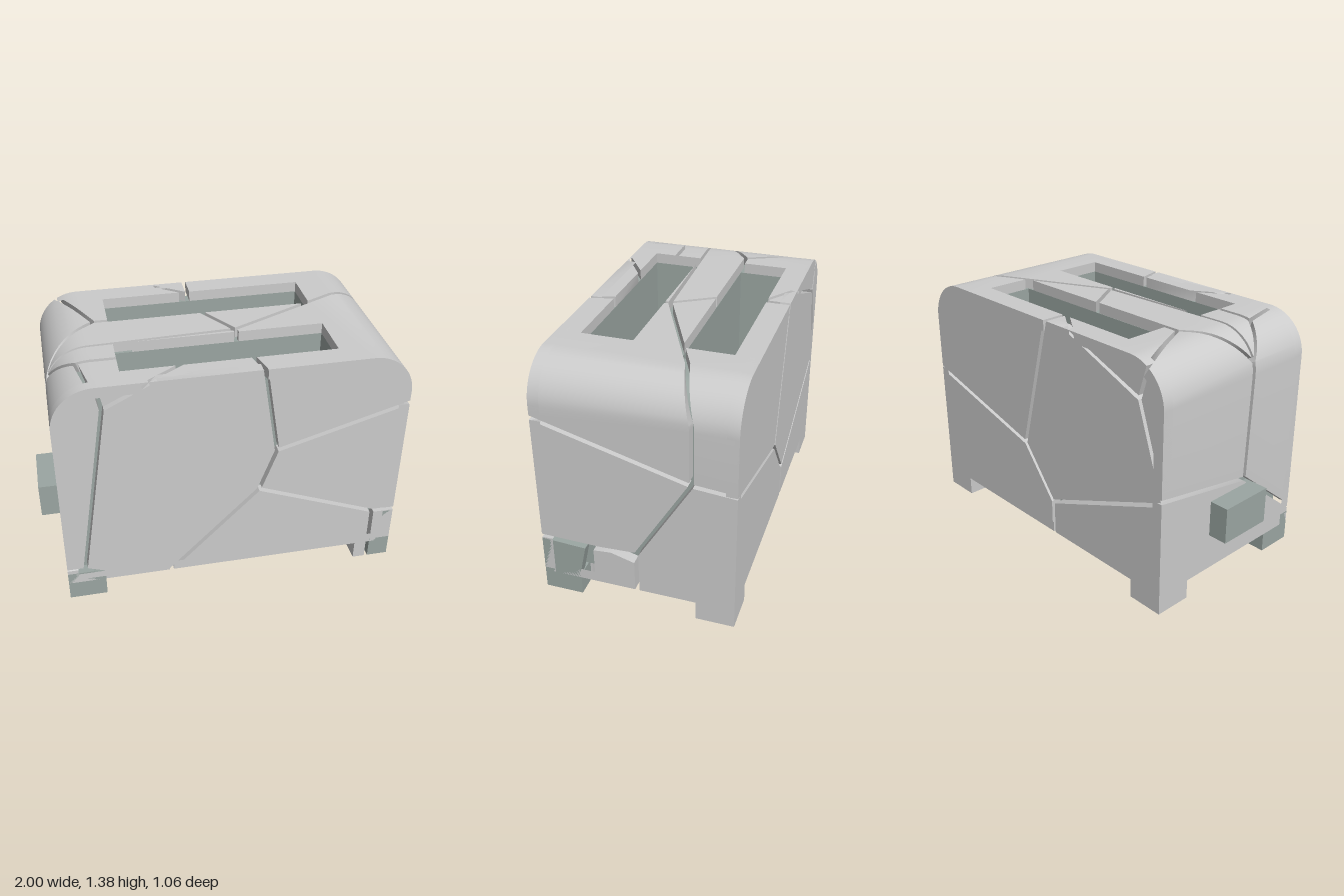
import * as THREE from 'three';
import { toCreasedNormals } from 'three/addons/utils/BufferGeometryUtils.js';

const grey = new THREE.MeshStandardMaterial({ color: 0xcccccc });
const teal = new THREE.MeshStandardMaterial({ color: 0x9ba6a2 });

// Body extents, corner radius, shard thickness and half the crack width
const X0 = -0.89, X1 = 1, Y0 = 0.11, Y1 = 1.38, Z = 0.53, RAD = 0.23;
const DEPTH = 0.06, GAP = 0.012;
const ARC = RAD * Math.PI / 2, YC = Y1 - RAD, XL = X0 + RAD, XR = X1 - RAD;
const SLOT = [-0.52, 0.62], SLOT_Z = [[-0.4, -0.13], [0.12, 0.4]], FLOOR = 0.45;

// Move every edge of a polygon inwards, and make it counter-clockwise
function inset(points) {
  let poly = points.map(p => new THREE.Vector2(...p));
  if (THREE.ShapeUtils.area(poly) < 0) poly.reverse();
  const n = poly.length;
  const normal = (a, b) => new THREE.Vector2(a.y - b.y, b.x - a.x).normalize();
  return poly.map((p, i) => {
    const n1 = normal(poly[(i + n - 1) % n], p), n2 = normal(p, poly[(i + 1) % n]);
    const k = GAP / Math.max(0.3, 1 + n1.dot(n2));
    return p.clone().addScaledVector(n1, k).addScaledVector(n2, k);
  });
}

// Clip a polygon to a convex counter-clockwise outline
function clip(poly, outline) {
  outline.forEach((a, i) => {
    const b = outline[(i + 1) % outline.length];
    const side = p => (b[0] - a[0]) * (p.y - a[1]) - (b[1] - a[1]) * (p.x - a[0]);
    const out = [];
    poly.forEach((p, j) => {
      const q = poly[(j + 1) % poly.length], dp = side(p), dq = side(q);
      if (dp >= 0) out.push(p);
      if (dp * dq < 0) out.push(p.clone().lerp(q, dp / (dp - dq)));
    });
    poly = out;
  });
  return poly.filter((p, i) => p.distanceTo(poly[(i + 1) % poly.length]) > 1e-5);
}

// One shard: the polygon clipped to each region, mapped to the body, with side walls
function shard(name, points, regions, place, flip, material) {
  const pos = [];
  const tri = (a, b, c) => (flip ? [a, c, b] : [a, b, c]).forEach(v => pos.push(...v));
  const whole = inset(points);
  for (const region of regions) {
    const poly = clip(whole, region);
    if (poly.length < 3) continue;
    const top = poly.map(p => place(p.x, p.y, 0));
    const low = poly.map(p => place(p.x, p.y, DEPTH));
    for (const [a, b, c] of THREE.ShapeUtils.triangulateShape(poly, [])) tri(top[a], top[b], top[c]);
    for (let i = 0; i < poly.length; i++) {
      const j = (i + 1) % poly.length;
      tri(top[i], low[i], low[j]);
      tri(top[i], low[j], top[j]);
    }
  }
  const geo = new THREE.BufferGeometry();
  geo.setAttribute('position', new THREE.Float32BufferAttribute(pos, 3));
  const mesh = new THREE.Mesh(toCreasedNormals(geo, 0.6), material);
  mesh.name = name;
  return mesh;
}

// A named group of shards; polygons whose name contains Chip are tinted
function shell(name, polys, regions, place, flip) {
  const group = new THREE.Group();
  group.name = name;
  for (const [key, points] of Object.entries(polys)) {
    group.add(shard(key, points, regions, place, flip, key.includes('Chip') ? teal : grey));
  }
  return group;
}

// Rounded body profile, inset by d, optionally notched by a slot
function profile(d, notch) {
  const s = new THREE.Shape(), r = RAD - d;
  s.moveTo(X0 + d, Y0 + d);
  s.lineTo(X1 - d, Y0 + d);
  s.absarc(XR, YC, r, 0, Math.PI / 2);
  if (notch) {
    s.lineTo(SLOT[1], Y1 - d);
    s.lineTo(SLOT[1], FLOOR);
    s.lineTo(SLOT[0], FLOOR);
    s.lineTo(SLOT[0], Y1 - d);
  }
  s.absarc(XL, YC, r, Math.PI / 2, Math.PI);
  return s;
}

// Unrolled coordinate s: equals x on the flat top, runs on over both corners and down the sides
const left = y => XL - ARC - (YC - y);
const right = y => XR + ARC + (YC - y);
function wrap(s, z, d) {
  const r = RAD - d;
  if (s < XL - ARC) return [X0 + d, YC + (s - XL + ARC), z];
  if (s > XR + ARC) return [X1 - d, YC - (s - XR - ARC), z];
  const c = s < XL ? XL : s > XR ? XR : s, a = (s - c) / RAD;
  return [c + r * Math.sin(a), YC + r * Math.cos(a), z];
}

function wrapRegions() {
  const cuts = [left(Y0)];
  for (let i = 0; i <= 10; i++) cuts.push(XL - ARC * (1 - i / 10));
  cuts.push(...SLOT);
  for (let i = 0; i <= 10; i++) cuts.push(XR + ARC * i / 10);
  cuts.push(right(Y0));
  const out = [];
  for (let i = 0; i + 1 < cuts.length; i++) {
    const [a, b] = [cuts[i], cuts[i + 1]];
    const bands = a === SLOT[0] ? [[-Z, -0.4], [-0.13, 0.12], [0.4, Z]] : [[-Z, Z]];
    for (const [p, q] of bands) out.push([[a, p], [b, p], [b, q], [a, q]]);
  }
  return out;
}

function box(name, x0, x1, y0, y1, z0, z1, material) {
  const m = new THREE.Mesh(new THREE.BoxGeometry(x1 - x0, y1 - y0, z1 - z0), material);
  m.position.set((x0 + x1) / 2, (y0 + y1) / 2, (z0 + z1) / 2);
  m.name = name;
  return m;
}

export function createModel() {
  const model = new THREE.Group();
  model.name = 'crackedToaster';

  // Inner core, in bands so that the two bread slots stay open
  const bands = [-Z + DEPTH, ...SLOT_Z.flat(), Z - DEPTH];
  for (let i = 0; i < 5; i++) {
    const geo = new THREE.ExtrudeGeometry(profile(DEPTH, i % 2 === 1),
      { depth: bands[i + 1] - bands[i], bevelEnabled: false, curveSegments: 10 });
    geo.translate(0, 0, bands[i]);
    const core = new THREE.Mesh(toCreasedNormals(geo, 0.6), teal);
    core.name = i % 2 ? 'slotBand' : 'coreBand';
    model.add(core);
  }

  // Front and back shards, in x and y
  const outline = [profile(0, false).getPoints(10).map(p => [p.x, p.y])];
  const A = [-0.63, 1.25], B = [-0.79, 0.2], C = [0.28, 0.87], D = [0.19, 0.62], E = [0.87, 0.35];
  model.add(shell('frontShell', {
    leftEdge: [A, B, [-1, 0.2], [-1, 1.5], [-0.68, 1.5]],
    topWedge: [A, [-0.68, 1.5], [-0.14, 1.5]],
    centre: [A, [-0.14, 1.5], [0.18, 1.5], C, D, [-0.33, 0.09], [-0.5, 0.09], B],
    upperCorner: [C, [0.18, 1.5], [1.1, 1.5], [1.1, 1.11]],
    middle: [C, [1.1, 1.11], [1.1, 0.35], E, D],
    bottom: [D, E, [0.87, 0], [-0.33, 0.09]],
    lowerCorner: [E, [1.1, 0.35], [1.1, 0], [0.87, 0]],
    footChip: [[-1, 0.19], [-0.74, 0.19], [-0.67, 0.14], [-0.67, 0.05], [-1, 0.05]],
  }, outline, (x, y, d) => [x, y, Z - d], false));

  const P = [0.18, 0.6], Q = [-0.05, 0.31], T = [-0.73, 1.17], U = [-0.9, 0.66];
  model.add(shell('backShell', {
    upperCorner: [P, [1.1, 0.84], [1.1, 1.5], [-0.035, 1.4]],
    lowerCorner: [P, [1.1, 0.84], [1.1, 0], [-0.05, 0], Q],
    lowerSide: [Q, [-0.05, 0], [-1.1, 0], [-1.1, 0.71], U],
    centre: [P, Q, U, T, [-0.15, 1.4], [-0.035, 1.4]],
    topWedge: [T, [-0.15, 1.4], [-0.8, 1.4]],
    sideEdge: [T, [-0.8, 1.4], [-1.1, 1.4], [-1.1, 0.67], U],
  }, outline, (x, y, d) => [x, y, d - Z], true));

  // Top and both sides as one wrapped sheet, in s and z
  const H = [-0.95, 0.13], I = [-0.6, -0.14], J = [0.14, 0.09], M = [-0.73, 0.27];
  const N = [left(0.56), 0.105], F = [right(0.85), -0.3], G = [right(0.35), 0];
  const Ib = [-0.84, -0.65], Mf = [-0.66, 0.65], Kf = [-0.58, 0.65], Nb = [left(0.69), -0.65];
  const Nf = [left(0.12), 0.65], Ff = [right(1.115), 0.65], Fb = [right(0.82), -0.65];
  const V = [-0.03, -0.38], Vb = [-0.41, -0.65], W = [0, -0.14], S = [-0.5, -0.14];
  const K1 = [0.77, -0.21], K2 = [1.1, -0.3], L1 = [0.17, 0.4], L2 = [0.23, 0.65];
  const S1 = [-0.45, 0.27], S2 = [-0.2, 0.39], low = right(0);
  model.add(shell('topAndSideShell', {
    backCorner: [H, I, Ib, Nb, N],
    backStrip: [I, Ib, Vb, V, W, S],
    backSliver: [Vb, V, [-0.03, -0.65]],
    middleStrip: [H, I, S, W, J],
    backShoulder: [[-0.03, -0.65], V, W, J, K1, K2, F, Fb],
    frontShoulder: [J, K1, K2, F, Ff, L2, L1],
    sideMiddle: [F, Ff, [right(0.35), 0.65], [right(0.34), 0.2], G],
    sideBack: [F, G, [low, 0], [low, -0.65], Fb],
    sideChip: [[right(0.35), 0.65], [right(0.33), 0.27], [low, 0.34], [low, 0.65]],
    sideSplinter: [[right(0.33), 0.25], [right(0.34), 0.14], [right(0.3), 0], [low, 0], [low, 0.25]],
    frontStrip: [H, J, L1, L2, Kf, S2, S1, M],
    frontWedge: [M, S1, S2, Kf, Mf],
    frontCorner: [H, M, Mf, Nf, N],
    sideLower: [N, Nf, [left(0), 0.65], [left(0), -0.65], Nb],
  }, wrapRegions(), wrap, true));

  // Underside shards, in x and z
  const base = [[[X0, -Z], [X1, -Z], [X1, Z], [X0, Z]]];
  const O = [-0.1, 0];
  model.add(shell('underside', {
    backHalf: [O, [1.1, 0], [1.1, -0.65], [-0.05, -0.65]],
    sideHalf: [O, [-0.05, -0.65], [-1, -0.65], [-1, 0.65], [-0.35, 0.65]],
    frontHalf: [O, [-0.35, 0.65], [1.1, 0.65], [1.1, 0]],
  }, base, (x, z, d) => [x, Y0 + d, z], false));

  // Feet, one of them split by a crack
  model.add(box('frontRightFoot', X0, -0.68, 0, 0.13, 0.32, Z, teal));
  model.add(box('frontLeftFootInner', 0.79, 0.86, 0, 0.13, 0.32, Z, grey));
  model.add(box('frontLeftFootOuter', 0.88, X1, 0, 0.13, 0.32, Z, teal));
  model.add(box('backRightFoot', X0, -0.68, 0, 0.13, -Z, -0.32, grey));
  model.add(box('backLeftFoot', 0.79, X1, 0, 0.13, -Z, -0.32, grey));

  // Push-down lever
  model.add(box('lever', -1, X0 + 0.03, 0.32, 0.525, -0.16, 0.16, teal));
  return model;
}
